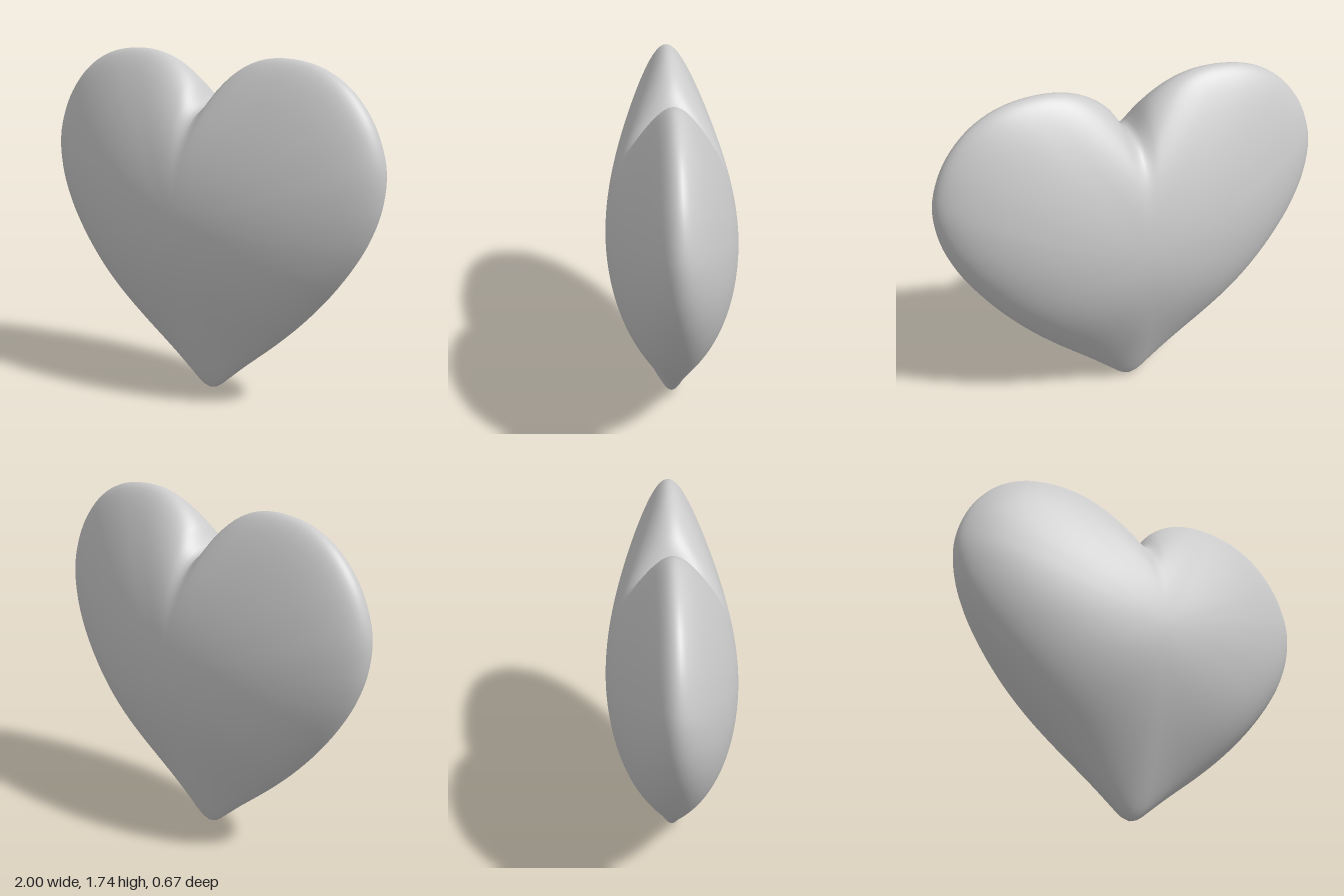
import * as THREE from 'three';

// Right half of the outline, notch to tip: x, y and how strongly the depth tapers there
const HALF = [
  [0, 1.47, 0.38], [0.035, 1.51, 0.38], [0.1, 1.605, 0.38], [0.2, 1.683, 0.38], [0.32, 1.73, 0.38],
  [0.47, 1.742, 0.37], [0.65, 1.71, 0.32], [0.8, 1.625, 0.26], [0.92, 1.485, 0.2],
  [0.982, 1.34, 0.17], [1, 1.22, 0.15], [0.978, 1.06, 0.15], [0.92, 0.91, 0.17],
  [0.84, 0.775, 0.21], [0.71, 0.605, 0.27], [0.56, 0.445, 0.34], [0.41, 0.31, 0.41],
  [0.2, 0.142, 0.49], [0.09, 0.05, 0.53], [0.045, 0.014, 0.54], [0, 0, 0.55],
];
const CENTRE_Y = 0.92;
const DEPTH = 0.334;
const DOME_X = 0.98;
const DOME_Y = 0.81;
const RINGS = 64;
const SIDES = 160;

function pillowHeart() {
  const right = HALF.map(p => new THREE.Vector3(...p));
  const left = right.slice(1, -1).reverse().map(p => new THREE.Vector3(-p.x, p.y, p.z));
  const outline = new THREE.CatmullRomCurve3([...right, ...left], true, 'centripetal')
    .getSpacedPoints(SIDES).slice(0, SIDES);

  // Rings swell from the front pole out to the outline and shrink to the back pole,
  // changing from an oval dome in the middle to the heart outline at the rim
  const position = [0, CENTRE_Y, DEPTH];
  for (let i = 1; i < RINGS; i++) {
    const angle = Math.PI * i / RINGS;
    const t = Math.sin(angle);
    for (const p of outline) {
      const dy = p.y - CENTRE_Y;
      const toOval = 1 / Math.hypot(p.x / DOME_X, dy / DOME_Y);
      const scale = t * THREE.MathUtils.lerp(toOval, 1, t * t);
      position.push(
        p.x * scale,
        CENTRE_Y + dy * scale,
        DEPTH * Math.cos(angle) * (1 - p.z * t * t),
      );
    }
  }
  position.push(0, CENTRE_Y, -DEPTH);

  const at = (ring, j) => 1 + (ring - 1) * SIDES + (j % SIDES);
  const last = position.length / 3 - 1;
  const index = [];
  for (let j = 0; j < SIDES; j++) {
    index.push(0, at(1, j + 1), at(1, j));
    for (let i = 1; i < RINGS - 1; i++) {
      const a = at(i, j), b = at(i, j + 1), c = at(i + 1, j + 1), d = at(i + 1, j);
      index.push(a, b, c, a, c, d);
    }
    index.push(last, at(RINGS - 1, j), at(RINGS - 1, j + 1));
  }

  const geometry = new THREE.BufferGeometry();
  geometry.setAttribute('position', new THREE.Float32BufferAttribute(position, 3));
  geometry.setIndex(index);
  geometry.computeVertexNormals();
  return geometry;
}

export function createModel() {
  const group = new THREE.Group();
  const heart = new THREE.Mesh(pillowHeart(), new THREE.MeshStandardMaterial({ color: 0xcccccc }));
  heart.name = 'heart';
  group.add(heart);
  return group;
}
